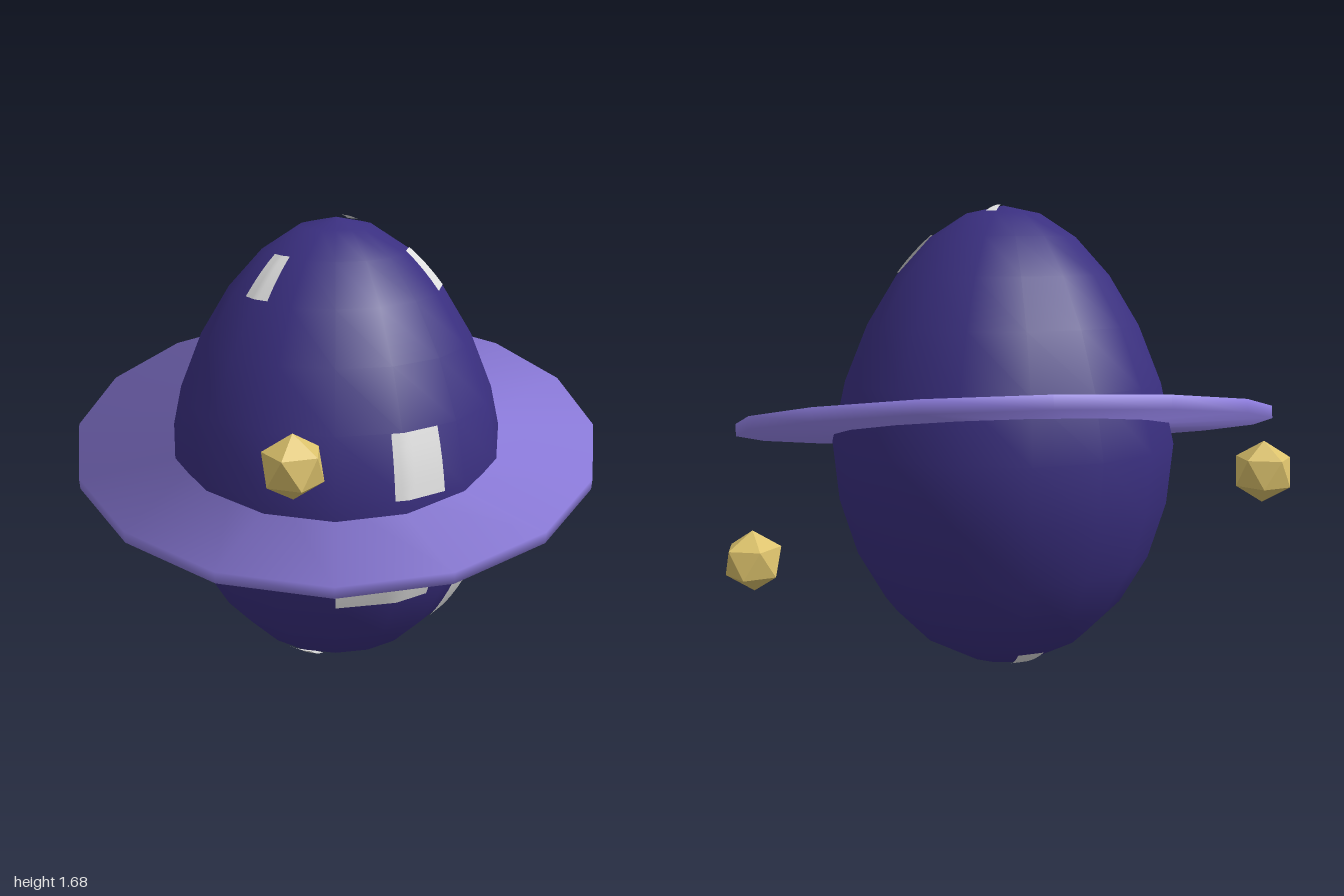
import * as THREE from 'three';

const CENTER = new THREE.Vector3(-0.01, 0, -0.05);
const SIDES = 16;
const HALF = 0.84;
const DEG = Math.PI / 180;

const mat = (name, color, extra = {}) => {
  const m = new THREE.MeshStandardMaterial({ color, ...extra });
  m.name = name;
  return m;
};

// Egg outline: polar angle from the top gives radius and height
function eggProfile(theta) {
  const c = Math.cos(theta);
  return new THREE.Vector2(
    Math.max(0, 0.625 * Math.sin(theta) * (1 - 0.18 * Math.max(0, c))),
    HALF + HALF * c
  );
}

// Thin plate lying on the faceted egg between two polar angles and two azimuths
function windowGeometry(t0, t1, a0, a1) {
  const g = new THREE.PlaneGeometry(1, 1, 8, 4);
  const p = g.attributes.position;
  const step = (2 * Math.PI) / SIDES;
  for (let i = 0; i < p.count; i++) {
    const az = (a0 + (a1 - a0) * (p.getX(i) + 0.5)) * DEG;
    const theta = (t1 + (t0 - t1) * (p.getY(i) + 0.5)) * DEG;
    const q = eggProfile(theta);
    const local = az - Math.floor(az / step) * step - step / 2;
    const r = q.x * Math.cos(step / 2) / Math.cos(local) + 0.005 * Math.sin(theta);
    p.setXYZ(i, r * Math.sin(az), q.y + 0.005 * Math.cos(theta), r * Math.cos(az));
  }
  g.computeVertexNormals();
  return g;
}

export function createModel() {
  const group = new THREE.Group();
  const indigo = mat('indigo', 0x3a2f80);
  const lavender = mat('lavender', 0x8f7ee0);
  const gold = mat('gold', 0xdcc26c);
  gold.flatShading = true;
  const paleGrey = mat('paleGrey', 0xe0e0e0, { side: THREE.DoubleSide });

  const add = (name, geometry, material, parent = group) => {
    const m = new THREE.Mesh(geometry, material);
    m.name = name;
    parent.add(m);
    return m;
  };

  // Egg-shaped body
  const outline = [];
  for (let i = 12; i >= 0; i--) outline.push(eggProfile(i * 15 * DEG));
  add('body', new THREE.LatheGeometry(outline, SIDES), indigo).position.copy(CENTER);

  // Lit windows: polar range, azimuth range (0 = front, 90 = left)
  const windows = new THREE.Group();
  windows.name = 'windows';
  windows.position.copy(CENTER);
  group.add(windows);
  [
    [75, 90, 18.5, 36.5],
    [104.5, 119.5, 0, 36.5],
    [119.5, 134.5, 53, 71],
    [149.5, 164.5, -35, -17],
    [29.5, 44.5, -54, -37],
    [29.5, 44.5, 70, 88],
    [5.6, 14.7, 143, 161],
    [150, 165, 181, 199],
  ].forEach((w) => add('window', windowGeometry(...w), paleGrey, windows));

  // Tilted flat ring, shaded softly outward
  const h = 0.022, R = 0.965;
  const ringGeo = new THREE.LatheGeometry(
    [[0.5, -h], [R, -h], [R, h], [0.5, h]].map(([x, y]) => new THREE.Vector2(x, y)), SIDES);
  const p = ringGeo.attributes.position;
  const n = new THREE.Vector3();
  for (let i = 0; i < p.count; i++) {
    n.set(p.getX(i), 0, p.getZ(i)).normalize().setY(Math.sign(p.getY(i)) * 0.5).normalize();
    ringGeo.attributes.normal.setXYZ(i, n.x, n.y, n.z);
  }
  const ring = add('ring', ringGeo, lavender);
  ring.position.set(CENTER.x, 0.888, CENTER.z);
  ring.rotation.x = 12 * DEG;

  // Small faceted moons, each with a corner pointing up
  const moonGeo = new THREE.IcosahedronGeometry(0.102, 0);
  moonGeo.rotateZ(Math.atan(2 / (1 + Math.sqrt(5))));
  [[-0.13, 1.1, 0.905], [0.88, 0.508, -0.425], [-0.785, 0.8, -0.635]]
    .forEach((pos) => add('moon', moonGeo, gold).position.set(...pos));

  return group;
}
